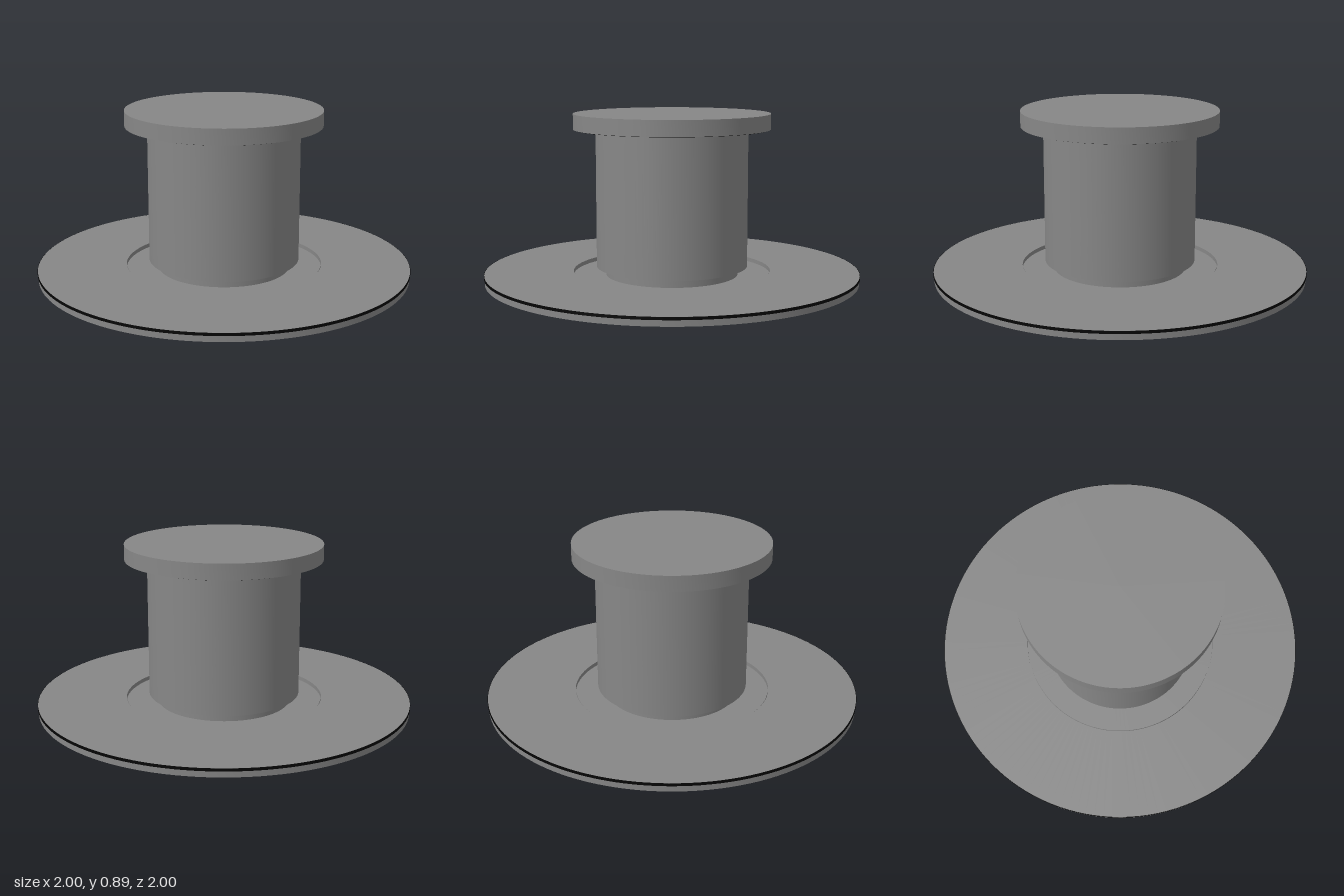
import * as THREE from 'three';
import { toCreasedNormals } from 'three/addons/utils/BufferGeometryUtils.js';

const grey = new THREE.MeshStandardMaterial({ color: 0x878787 });
const black = new THREE.MeshStandardMaterial({ color: 0x050505 });

// Turns a list of [radius, height] points, listed with the solid on the left, into a crisp-edged part
function turned(name, material, profile) {
  const points = profile.map(([r, y]) => new THREE.Vector2(r, y));
  const geometry = toCreasedNormals(new THREE.LatheGeometry(points, 128), 0.5);
  const mesh = new THREE.Mesh(geometry, material);
  mesh.name = name;
  return mesh;
}

// Closed ring of rectangular section
function ring(name, material, inner, outer, bottom, top) {
  return turned(name, material, [
    [inner, top], [inner, bottom], [outer, bottom], [outer, top], [inner, top],
  ]);
}

export function createModel() {
  const group = new THREE.Group();
  group.name = 'flangedSpool';

  // Pressed sheet plate with a sunken centre around the opening
  group.add(turned('basePlate', grey, [
    [0.352, 0.024], [0.352, 0.02], [0.523, 0.02], [0.523, 0.042], [0.998, 0.042],
    [0.998, 0.046], [0.527, 0.046], [0.527, 0.024], [0.352, 0.024],
  ]));

  // Rim of the plate: black band above a thin grey lip
  group.add(ring('rimBand', black, 0.985, 1, 0.031, 0.0455));
  group.add(ring('rimLip', grey, 0.986, 0.996, 0, 0.032));

  // Hollow drum with a narrower neck standing in the plate's opening
  group.add(turned('drum', grey, [
    [0, 0.81], [0.395, 0.81], [0.395, 0.075], [0.35, 0.065], [0.35, 0.02],
    [0.354, 0.02], [0.354, 0.07], [0.404, 0.07], [0.404, 0.81],
  ]));

  // Closed top flange with a black ring set into its underside
  group.add(turned('topFlange', grey, [
    [0, 0.804], [0.522, 0.804], [0.522, 0.886], [0, 0.886],
  ]));
  group.add(ring('flangeSeal', black, 0.492, 0.515, 0.802, 0.806));

  return group;
}
